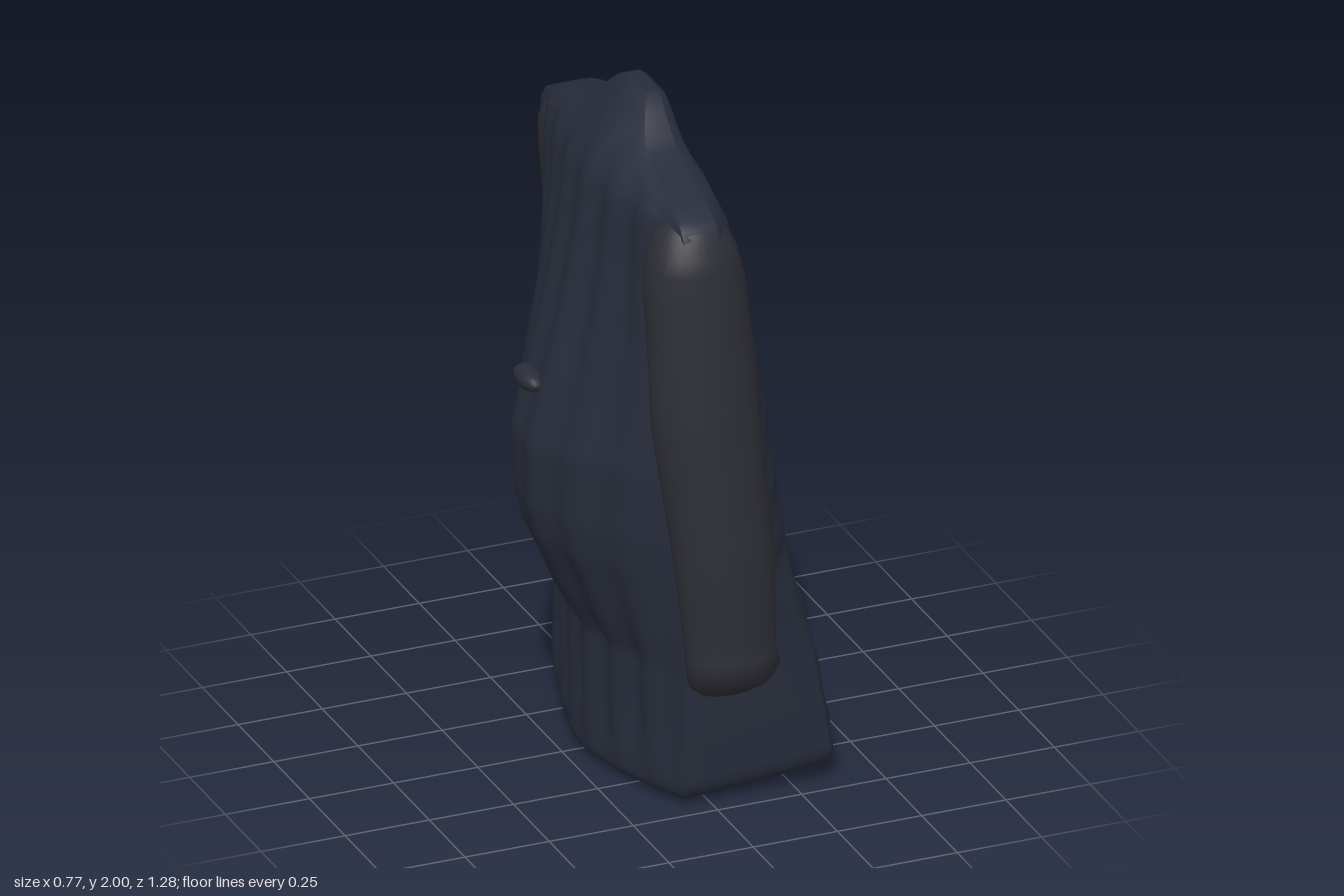
import * as THREE from 'three';

// Body rows: y, flat front x, middle of back x, side edge x, half width in z, front corner fall-off
const BODY = [
  [0, .36, -.18, -.05, .42, .03], [.02, .38, -.2, -.08, .45, .03], [.06, .382, -.2, -.085, .465, .03],
  [.2, .362, -.195, -.08, .465, .03], [.4, .33, -.2, -.08, .462, .03], [.5, .31, -.255, -.08, .468, .06],
  [.6, .293, -.3, -.075, .48, .1], [.7, .28, -.35, -.07, .49, .13], [.8, .266, -.375, -.07, .5, .13],
  [1, .236, -.385, -.07, .5, .13], [1.2, .203, -.335, -.07, .5, .12], [1.4, .168, -.28, -.08, .5, .11],
  [1.6, .128, -.235, -.09, .505, .1], [1.7, .1, -.218, -.1, .51, .09], [1.75, .085, -.212, -.1, .5, .08],
  [1.79, .072, -.203, -.1, .465, .07], [1.82, .064, -.19, -.095, .39, .06], [1.85, .056, -.175, -.09, .28, .05],
  [1.88, .05, -.155, -.085, .205, .045], [1.92, .046, -.125, -.07, .155, .04], [1.96, .038, -.09, -.055, .12, .035],
  [1.985, .03, -.07, -.04, .095, .025], [2, .01, -.045, -.025, .06, .01],
];
// Sleeve rows: y, centre x, centre z, radius x, radius z
const LEFT_SLEEVE = [
  [.37, .025, .51, .08, .04], [.4, .025, .525, .115, .07], [.46, .025, .55, .135, .092],
  [.5, .02, .545, .13, .087], [.8, .005, .525, .145, .105], [1.2, -.03, .485, .155, .115],
  [1.6, -.045, .44, .145, .115], [1.7, -.05, .435, .125, .105], [1.76, -.05, .42, .09, .08], [1.79, -.05, .4, .05, .04],
];
const RIGHT_SLEEVE = [
  [.34, .17, -.57, .06, .02], [.39, .155, -.55, .11, .06], [.45, .145, -.54, .13, .08],
  [.5, .14, -.545, .135, .095], [.56, .135, -.535, .13, .093], [.8, .1, -.505, .13, .105], [1.2, .045, -.465, .13, .11],
  [1.6, 0, -.435, .125, .115], [1.7, -.02, -.43, .11, .105], [1.76, -.035, -.42, .08, .08], [1.79, -.04, -.4, .05, .04],
];

// Linear interpolation of a table by its first column
function sample(table, y) {
  let i = 1;
  while (i < table.length - 1 && table[i][0] < y) i++;
  const a = table[i - 1], b = table[i];
  const t = THREE.MathUtils.clamp((y - a[0]) / (b[0] - a[0]), 0, 1);
  return a.map((v, k) => THREE.MathUtils.lerp(v, b[k], t));
}

// Heights: every table row plus even steps between them
function heights(table, step) {
  const out = [table[0][0]];
  for (let i = 1; i < table.length; i++) {
    const a = table[i - 1][0], b = table[i][0], n = Math.max(1, Math.round((b - a) / step));
    for (let k = 1; k <= n; k++) out.push(a + (b - a) * k / n);
  }
  return out;
}

// Skin a stack of closed rings and cap both ends
function loft(rings) {
  const pos = [], idx = [], n = rings[0].length;
  rings.forEach(r => r.forEach(p => pos.push(...p)));
  for (let i = 0; i < rings.length - 1; i++) for (let j = 0; j < n; j++) {
    const a = i * n + j, b = i * n + (j + 1) % n, c = a + n, d = b + n;
    idx.push(a, c, b, b, c, d);
  }
  [rings[0], rings[rings.length - 1]].forEach((r, top) => {
    const base = pos.length / 3, mid = [0, 1, 2].map(k => r.reduce((s, p) => s + p[k], 0) / n);
    r.forEach(p => pos.push(...p));
    pos.push(...mid);
    for (let j = 0; j < n; j++) {
      const a = base + j, b = base + (j + 1) % n;
      top ? idx.push(base + n, b, a) : idx.push(base + n, a, b);
    }
  });
  const g = new THREE.BufferGeometry();
  g.setAttribute('position', new THREE.Float32BufferAttribute(pos, 3));
  g.setIndex(idx);
  g.computeVertexNormals();
  return g;
}

// The hem rises slightly towards the flat front
const hemLift = (x, y) => Math.max(0, 1 - y / .4) * (x + .2) * .08;

function bodyRing(y) {
  const [, xf, xb, xs, w, fall] = sample(BODY, y);
  const ring = [], N = 56, S = 8;
  const fade = Math.min(1, y / .15) * THREE.MathUtils.clamp((1.95 - y) / .2, 0, 1);
  const add = (x, z) => ring.push([x, y + hemLift(x, y), z]);
  // the front turns back into the sleeves, more so on the left, but stays square at the hem
  const power = y < .4 ? 16 : THREE.MathUtils.lerp(16, 6, Math.min(1, (y - .4) / .3));
  const front = s => xf - fall * (s < 0 ? .6 : 1) * Math.abs(s) ** power;
  // quilted front
  for (let i = 0; i <= N; i++) {
    const s = Math.sin((i / N - .5) * Math.PI), z = w * s;
    const quilt = Math.sin(z * 40 + y * 4) * Math.sin(y * 36 + z * 12);
    add(front(s) + .007 * fade * quilt * (1 - s ** 8), z);
  }
  // left side
  for (let i = 1; i < S; i++) {
    const t = i / S;
    add(THREE.MathUtils.lerp(front(1), xs, t), w * (1 + .01 * Math.sin(t * Math.PI)));
  }
  // bulging back with long vertical folds, fuller on the left
  for (let i = 0; i <= N; i++) {
    const s = Math.sin((.5 - i / N) * Math.PI), z = w * s;
    const fold = Math.cos(z * 44 + Math.sin(y * 4) * .7) * .01 * fade * (1 - s ** 6);
    add(xs + (xb - xs) * (1 - Math.abs(s) ** (s < 0 ? 1.35 : 1.8)) + fold, z);
  }
  // right side
  for (let i = 1; i < S; i++) {
    const t = i / S;
    add(THREE.MathUtils.lerp(xs, front(-1), t), -w * (1 + .01 * Math.sin(t * Math.PI)));
  }
  return ring;
}

function sleeveGeometry(table) {
  return loft(heights(table, .05).map(y => {
    const [, cx, cz, rx, rz] = sample(table, y);
    return Array.from({ length: 32 }, (_, i) => {
      const a = i / 32 * Math.PI * 2, r = 1 + .012 * Math.sin(a * 5 + y * 9);
      return [cx + rx * r * Math.cos(a), y, cz + rz * Math.sin(a)];
    });
  }));
}

// Thin panel bent to follow the slanted front
function panelGeometry(y0, y1, z0, z1, lift) {
  const g = new THREE.BoxGeometry(.03, y1 - y0, z1 - z0, 1, 24, 6);
  g.translate(0, (y0 + y1) / 2, (z0 + z1) / 2);
  const p = g.attributes.position;
  for (let i = 0; i < p.count; i++) {
    const y = p.getY(i), x = sample(BODY, y)[1] + p.getX(i) - .015 + lift;
    p.setXYZ(i, x, y + hemLift(x, y), p.getZ(i));
  }
  g.computeVertexNormals();
  return g;
}

export function createModel() {
  const group = new THREE.Group();
  const add = (name, geometry, color) => {
    const mesh = new THREE.Mesh(geometry, new THREE.MeshStandardMaterial({ color }));
    mesh.name = name;
    group.add(mesh);
    return mesh;
  };
  add('coatBody', loft(heights(BODY, .025).map(bodyRing)), 0x272c3a);
  add('leftSleeve', sleeveGeometry(LEFT_SLEEVE), 0x2d2d36);
  add('rightSleeve', sleeveGeometry(RIGHT_SLEEVE), 0x2d2d36);

  // Front opening: upper placket, its ledge and the lower pleat
  add('upperPlacket', panelGeometry(1.17, 1.66, -.04, .13, .006), 0x343f5e);
  add('placketLedge', panelGeometry(1.15, 1.19, -.05, .14, .012), 0x2b3044);
  add('lowerPleat', panelGeometry(.06, 1.08, -.03, .2, .005), 0x3b3d50);
  add('pleatRidge', panelGeometry(.06, 1.08, .04, .12, .008), 0x44465a);

  // Small tab at the back waist
  const tab = add('backTab', new THREE.SphereGeometry(1, 20, 14), 0x2c2c36);
  tab.scale.set(.035, .03, .07);
  tab.position.set(-.35, 1.16, 0);
  return group;
}
